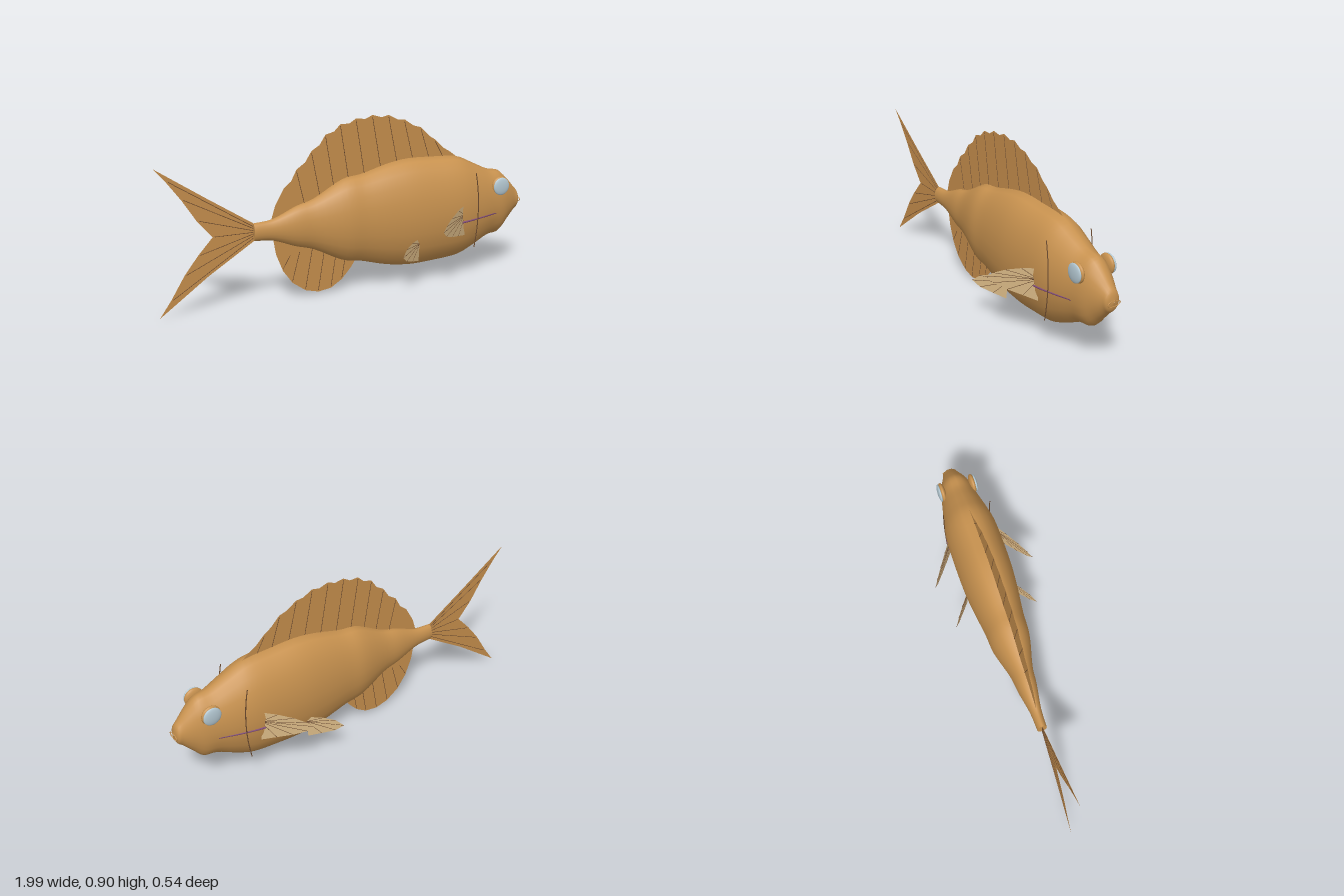
import * as THREE from 'three';

const mat = (name, color, side = THREE.FrontSide) => {
  const m = new THREE.MeshStandardMaterial({ color, side });
  m.name = name;
  return m;
};

// Body stations: x, top y, bottom y, half width
const STATIONS = [
  [-0.52, 0.415, 0.325, 0.025], [-0.42, 0.425, 0.315, 0.03], [-0.3, 0.475, 0.27, 0.05],
  [-0.2, 0.505, 0.24, 0.062], [-0.05, 0.585, 0.165, 0.1], [0.06, 0.603, 0.143, 0.108],
  [0.2, 0.64, 0.105, 0.125], [0.32, 0.657, 0.088, 0.136], [0.46, 0.653, 0.092, 0.139],
  [0.6, 0.643, 0.105, 0.136], [0.7, 0.6, 0.145, 0.12], [0.79, 0.558, 0.19, 0.1],
  [0.86, 0.543, 0.202, 0.085], [0.91, 0.5, 0.255, 0.066], [0.955, 0.45, 0.305, 0.045],
  [0.98, 0.42, 0.33, 0.035], [0.99, 0.376, 0.372, 0.002],
];
const SIDES = 20;

function bodyGeometry() {
  const heights = new THREE.CatmullRomCurve3(
    STATIONS.map(([x, t, b]) => new THREE.Vector3(x, t, b)), false, 'catmullrom');
  const widths = new THREE.CatmullRomCurve3(
    STATIONS.map(([x, , , w]) => new THREE.Vector3(x, w, 0)), false, 'catmullrom');
  const rings = (STATIONS.length - 1) * 4, pos = [], index = [];
  for (let i = 0; i <= rings; i++) {
    const h = heights.getPoint(i / rings), w = widths.getPoint(i / rings).y;
    for (let j = 0; j < SIDES; j++) {
      const a = (j / SIDES) * Math.PI * 2;
      pos.push(h.x, (h.y + h.z) / 2 + ((h.y - h.z) / 2) * Math.cos(a), w * Math.sin(a));
      if (i === rings) continue;
      const p = i * SIDES + j, q = i * SIDES + ((j + 1) % SIDES);
      index.push(p, q, p + SIDES, q, q + SIDES, p + SIDES);
    }
  }
  const g = new THREE.BufferGeometry();
  g.setAttribute('position', new THREE.Float32BufferAttribute(pos, 3));
  g.setIndex(index);
  g.computeVertexNormals();
  return g;
}

// Half width of the body surface at a given x and y
function surfaceZ(x, y) {
  const i = Math.max(1, STATIONS.findIndex((s) => s[0] >= x));
  const a = STATIONS[i - 1], b = STATIONS[i], k = (x - a[0]) / (b[0] - a[0]);
  const [, top, bottom, w] = a.map((v, n) => v + (b[n] - v) * k);
  const d = (y - (top + bottom) / 2) / ((top - bottom) / 2);
  return w * Math.sqrt(Math.max(0, 1 - d * d));
}

export function createModel() {
  const model = new THREE.Group();
  model.name = 'fish';
  const skin = mat('golden brown skin', 0xc8924f);
  const finSkin = mat('golden brown fin', 0xc48d4c, THREE.DoubleSide);
  const paleFin = mat('pale tan fin', 0xd6b684, THREE.DoubleSide);
  const rayMat = mat('dark brown rays', 0x6e4c30);
  const eyeMat = mat('pale blue eye', 0xb4c8d2);
  const lineMat = mat('purple side line', 0x86507c);

  const add = (name, geometry, material, parent = model) => {
    const m = new THREE.Mesh(geometry, material);
    m.name = name;
    parent.add(m);
    return m;
  };
  const V = (p) => new THREE.Vector3(p[0], p[1], p[2] || 0);
  const ray = (name, from, to, parent, r = 0.0016) =>
    add(name, new THREE.TubeGeometry(new THREE.LineCurve3(V(from), V(to)), 1, r, 5), rayMat, parent);
  const flat = (pts) => new THREE.ShapeGeometry(new THREE.Shape(pts.map((p) => new THREE.Vector2(...p))));
  const group = (name) => {
    const g = new THREE.Group();
    g.name = name;
    model.add(g);
    return g;
  };

  // Body and the flat end of the tail stalk
  add('body', bodyGeometry(), skin);
  const stump = add('tailStalkEnd', new THREE.CircleGeometry(1, SIDES), skin);
  stump.rotation.y = -Math.PI / 2;
  stump.scale.set(0.025, 0.045, 1);
  stump.position.set(-0.52, 0.37, 0);

  // Dorsal fin with a scalloped edge
  const peaks = [[-0.36, 0.57], [-0.29, 0.66], [-0.21, 0.745], [-0.135, 0.82], [-0.055, 0.865],
    [0.03, 0.887], [0.12, 0.897], [0.21, 0.89], [0.3, 0.86], [0.395, 0.812], [0.48, 0.74], [0.57, 0.668]];
  const edge = [];
  peaks.forEach((p, i) => {
    edge.push(p);
    const n = peaks[i + 1];
    if (n) edge.push([(p[0] + n[0]) / 2 + 0.005, (p[1] + n[1]) / 2 - 0.012]);
  });
  const dorsal = group('dorsalFin');
  add('dorsalWeb', flat([[-0.43, 0.41], [-0.405, 0.49], ...edge, [0.62, 0.63], [0.5, 0.55],
    [0, 0.5], [-0.3, 0.4]]), finSkin, dorsal);
  peaks.slice(1, -1).forEach(([x, y]) => ray('dorsalRay', [x, y - 0.01], [x + 0.055, Math.min(0.63, 0.53 + x * 0.4)], dorsal));

  // Anal fin
  const anal = group('analFin');
  const analEdge = [[-0.405, 0.24], [-0.37, 0.15], [-0.32, 0.08], [-0.25, 0.03], [-0.18, 0.012],
    [-0.11, 0.022], [-0.05, 0.06], [0, 0.115]];
  add('analWeb', flat([[-0.42, 0.33], ...analEdge, [0.03, 0.16], [-0.1, 0.3], [-0.3, 0.36]]), finSkin, anal);
  analEdge.slice(1, -1).forEach(([x, y]) => ray('analRay', [x, y + 0.008], [x + 0.04, 0.3 + x * 0.2], anal));

  // Forked tail fin
  const tail = group('tailFin');
  const fork = [[-1, 0.735], [-0.94, 0.665], [-0.87, 0.57], [-0.8, 0.46], [-0.725, 0.372],
    [-0.8, 0.29], [-0.87, 0.2], [-0.94, 0.085], [-1, 0]];
  add('tailWeb', flat([[-0.51, 0.41], [-0.75, 0.567], ...fork, [-0.75, 0.18], [-0.51, 0.33]]), finSkin, tail);
  fork.slice(1, -1).forEach(([x, y]) => ray('tailRay', [-0.52, 0.37 + (y - 0.37) * 0.1], [x + 0.01, y], tail));

  // Paired fins: edge points are [outward z, y]; the blade sweeps back as it goes out
  const pairedFin = (name, x0, sweep, root, rim, s) => {
    const g = group(name);
    const bend = ([z, y]) => [x0 - sweep * (z - 0.13), y, s * z];
    const geo = flat([root, ...rim]);
    const p = geo.attributes.position;
    for (let i = 0; i < p.count; i++) p.setXYZ(i, ...bend([p.getX(i), p.getY(i)]));
    geo.computeVertexNormals();
    add(name + 'Web', geo, paleFin, g);
    rim.slice(1, -1).forEach((q) => ray(name + 'Ray', bend(root), bend(q), g, 0.0012));
  };

  for (const [side, s] of [['left', 1], ['right', -1]]) {
    pairedFin(side + 'PectoralFin', 0.585, 1.42, [0.122, 0.355],
      [[0.132, 0.408], [0.17, 0.397], [0.215, 0.375], [0.25, 0.348], [0.268, 0.325], [0.25, 0.297],
        [0.21, 0.275], [0.165, 0.26], [0.122, 0.245]], s);
    pairedFin(side + 'PelvicFin', 0.315, 1.38, [0.115, 0.23],
      [[0.13, 0.258], [0.165, 0.255], [0.2, 0.24], [0.224, 0.208], [0.2, 0.178], [0.16, 0.158],
        [0.12, 0.14]], s);

    // Eye: skin socket with a pale lens
    const eye = group(side + 'Eye');
    eye.position.set(0.83, 0.476, 0);
    const ball = (n, r, z, half, m) => {
      const b = add(n, new THREE.SphereGeometry(r, 24, 16), m, eye);
      b.scale.z = half / r;
      b.position.z = s * z;
    };
    ball('eyeSocket', 0.05, 0.083, 0.018, skin);
    ball('eyeLens', 0.047, 0.097, 0.011, eyeMat);

    // Gill slit
    const gill = new THREE.QuadraticBezierCurve3(V([0.655, 0.572, s * 0.125]),
      V([0.695, 0.38, s * 0.125]), V([0.655, 0.172, s * 0.125]));
    add(side + 'GillSlit', new THREE.TubeGeometry(gill, 16, 0.0025, 6), rayMat);

    // Side line lying on the skin
    const line = [];
    for (let i = 0; i <= 6; i++) {
      const x = 0.57 + i * 0.05;
      line.push(V([x, 0.318 + i * 0.003, s * (surfaceZ(x, 0.32) - 0.001 - i * 0.0008)]));
    }
    add(side + 'SideLine', new THREE.TubeGeometry(new THREE.CatmullRomCurve3(line), 18, 0.006, 6), lineMat);
  }

  // Mouth ring
  const mouth = add('mouth', new THREE.TorusGeometry(0.034, 0.0025, 6, 28), skin);
  mouth.rotation.y = Math.PI / 2;
  mouth.scale.y = 0.42;
  mouth.position.set(0.99, 0.37, 0);

  return model;
}
